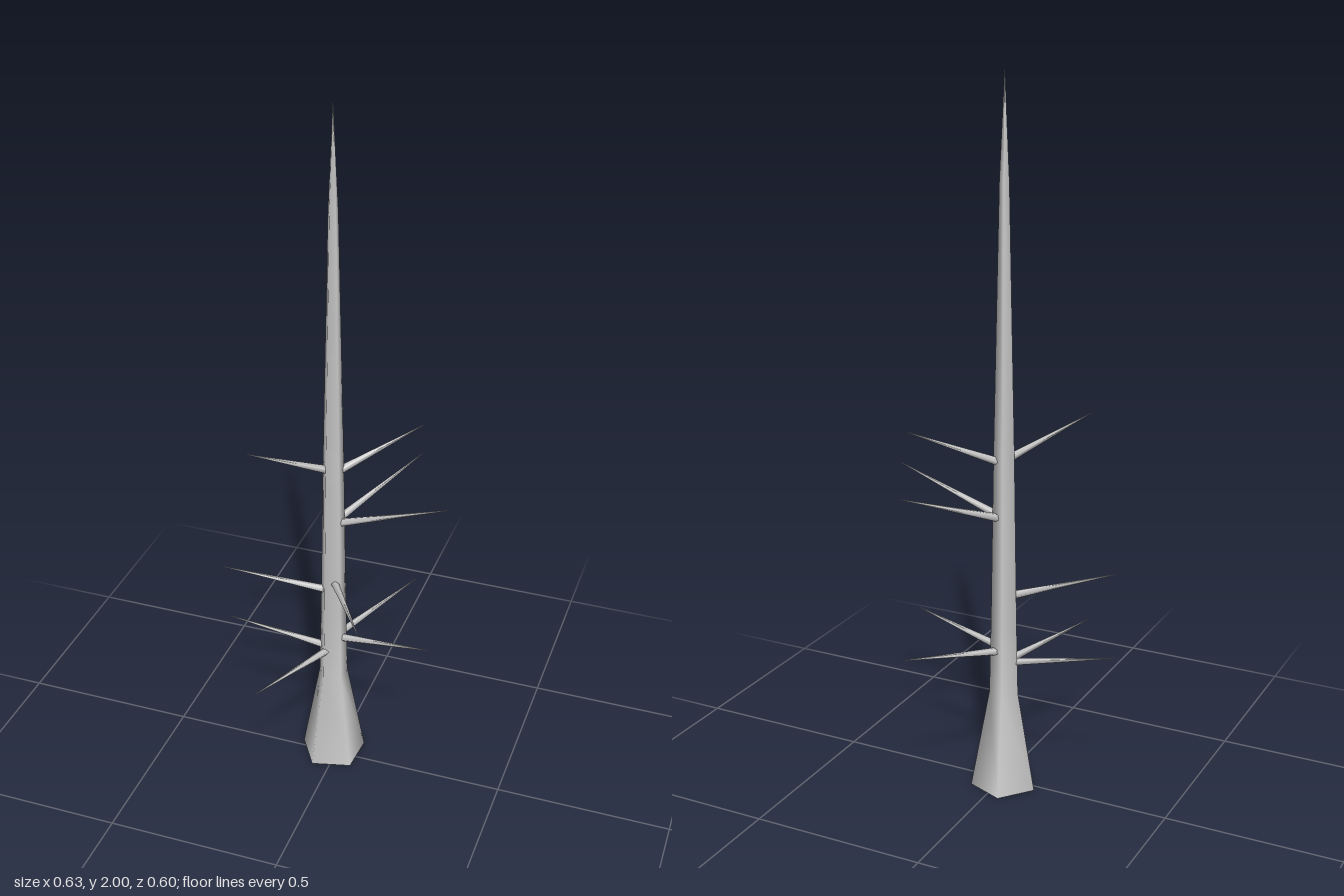
import * as THREE from 'three';

const material = new THREE.MeshStandardMaterial({ color: 0xcccccc, side: THREE.DoubleSide });
const CX = -0.015, CZ = -0.017;

// Bare branch: a thin five-sided spike from the trunk's axis side to its tip
function makeBranch(rootY, tipX, tipY, tipZ) {
  const tip = new THREE.Vector3(tipX, tipY, tipZ);
  const out = new THREE.Vector3(tipX - CX, 0, tipZ - CZ).normalize();
  const root = new THREE.Vector3(CX, rootY, CZ).addScaledVector(out, 0.018);
  const dir = tip.clone().sub(root);
  const length = dir.length();
  const geometry = new THREE.CylinderGeometry(0.0008, 0.012, length, 5, 1);
  geometry.translate(0, length / 2, 0);
  const mesh = new THREE.Mesh(geometry, material);
  mesh.position.copy(root);
  mesh.quaternion.setFromUnitVectors(new THREE.Vector3(0, 1, 0), dir.normalize());
  return mesh;
}

export function createModel() {
  const tree = new THREE.Group();
  tree.name = 'bareTree';

  // Five-sided trunk: flared foot, long taper, pointed top
  const profile = [[0, 0], [0.096, 0], [0.096, 0], [0.043, 0.29], [0.038, 0.5], [0.03, 1.0], [0.014, 1.72], [0.0005, 2.0]]
    .map(([r, y]) => new THREE.Vector2(r, y));
  const phi = THREE.MathUtils.degToRad(50.4);
  const foot = new THREE.Mesh(new THREE.LatheGeometry(profile.slice(2), 5, phi), material);
  foot.name = 'trunk';
  foot.position.set(CX, 0, CZ);
  tree.add(foot);

  // Underside of the trunk
  const base = new THREE.Mesh(new THREE.LatheGeometry(profile.slice(0, 2), 5, phi), material);
  base.name = 'trunkBase';
  base.position.set(CX, 0, CZ);
  tree.add(base);

  // Branches: root height, then tip x, y, z
  const branches = [
    [0.38, -0.133, 0.407, 0.295],
    [0.38, -0.322, 0.437, 0.015],
    [0.415, 0.145, 0.467, -0.30],
    [0.42, 0.28, 0.47, 0.028],
    [0.58, -0.305, 0.657, 0.083],
    [0.615, 0.16, 0.667, 0.282],
    [0.81, 0.16, 0.915, -0.28],
    [0.81, 0.312, 0.917, -0.01],
    [0.97, 0.19, 1.067, -0.18],
    [0.98, -0.194, 1.083, 0.154],
  ];
  branches.forEach((b, i) => {
    const branch = makeBranch(...b);
    branch.name = `branch${i + 1}`;
    tree.add(branch);
  });
  return tree;
}
